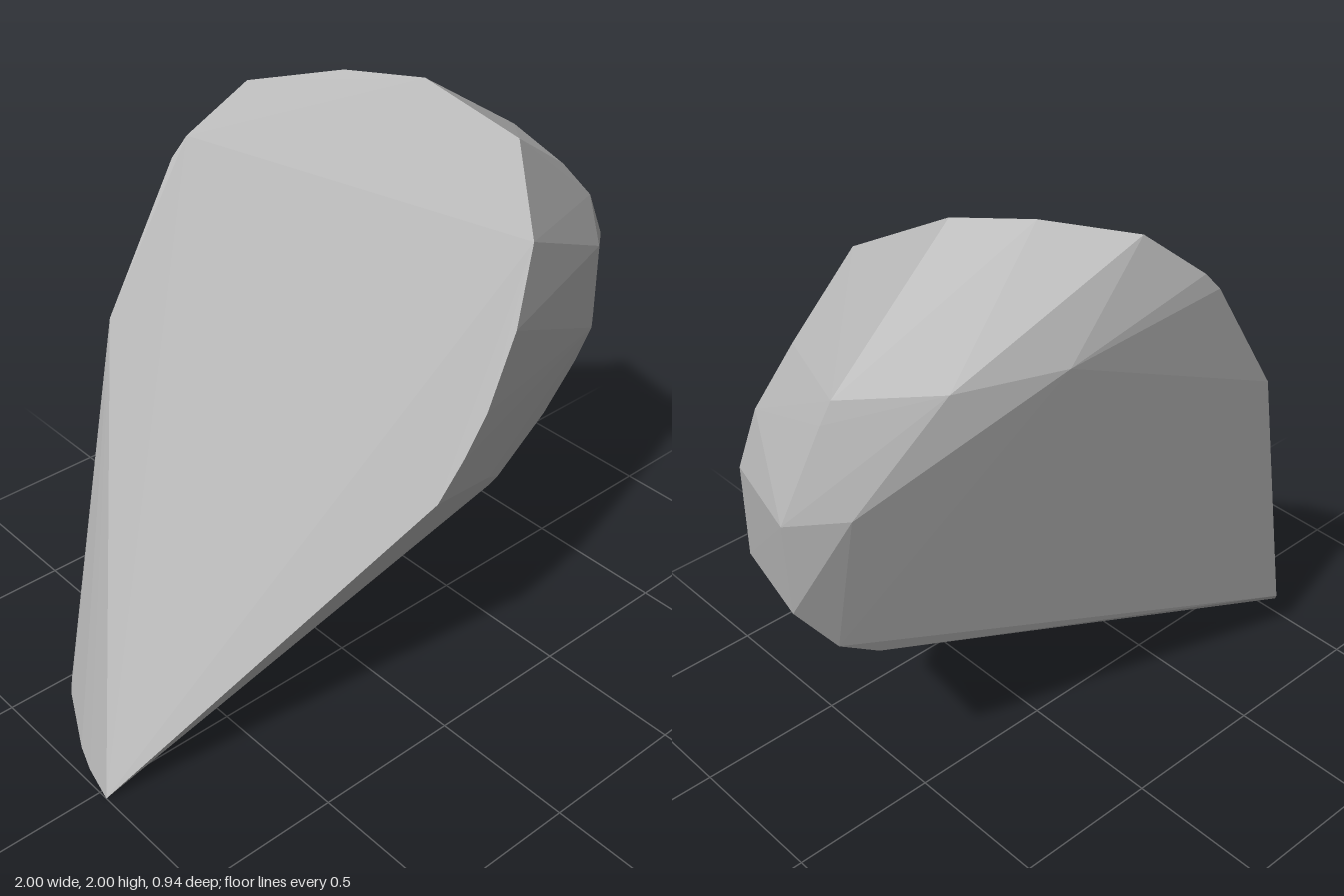
import * as THREE from 'three';
import { ConvexGeometry } from 'three/addons/geometries/ConvexGeometry.js';

export function createModel() {
  const group = new THREE.Group();
  const stone = new THREE.MeshStandardMaterial({ color: 0xb4b4b4 });
  stone.name = 'greyStone';
  const points = [];
  const add = (x, y, z) => points.push(new THREE.Vector3(x, y, z));

  // Rim of the large flat cut: every point lies on one sloping plane
  const rim = [
    [-1, 0.005], [-0.525, 1.32], [-0.25, 1.75], [-0.2, 1.81], [-0.03, 1.96],
    [0.17, 2], [0.32, 1.99], [0.45, 1.85], [0.39, 1.59], [0.28, 1.36],
    [0.15, 1.14], [0.06, 1.01], [-0.03, 0.89],
  ];
  for (const [x, y] of rim) add(x, y, (1.519 + 1.4705 * x - y) / 1.2707);

  // Blunt end: two bevelled outlines, each at constant depth
  const frontOutline = [[0.71, 1.67], [0.85, 1.52], [0.92, 1.36], [0.92, 1.06], [0.85, 0.91], [0.71, 0.76]];
  const backOutline = [[0.81, 1.67], [0.85, 1.61], [1, 1.36], [0.99, 1.06], [0.85, 0.86], [0.71, 0.76]];
  for (const [x, y] of frontOutline) add(x, y, 0.21);
  for (const [x, y] of backOutline) add(x, y, -0.09);

  // Front bevel and lower front edge
  add(0.85, 1.36, 0.265);
  add(0.85, 1.06, 0.265);
  add(0.3, 0.77, 0.352);
  add(0.41, 0.695, 0.295);
  add(0.41, 0.64, 0.26);

  // Back shoulder
  add(0.85, 1.36, -0.2);
  add(0.57, 1.67, -0.28);
  add(0.25, 1.67, -0.4);

  // Rounded lower tip at the back
  add(-0.88, 0.2, -0.3);
  add(-0.9, 0.165, -0.28);
  add(-0.96, 0.06, -0.15);
  add(-0.98, 0.03, -0.08);

  const body = new THREE.Mesh(new ConvexGeometry(points), stone);
  body.name = 'stoneShard';
  group.add(body);
  return group;
}
